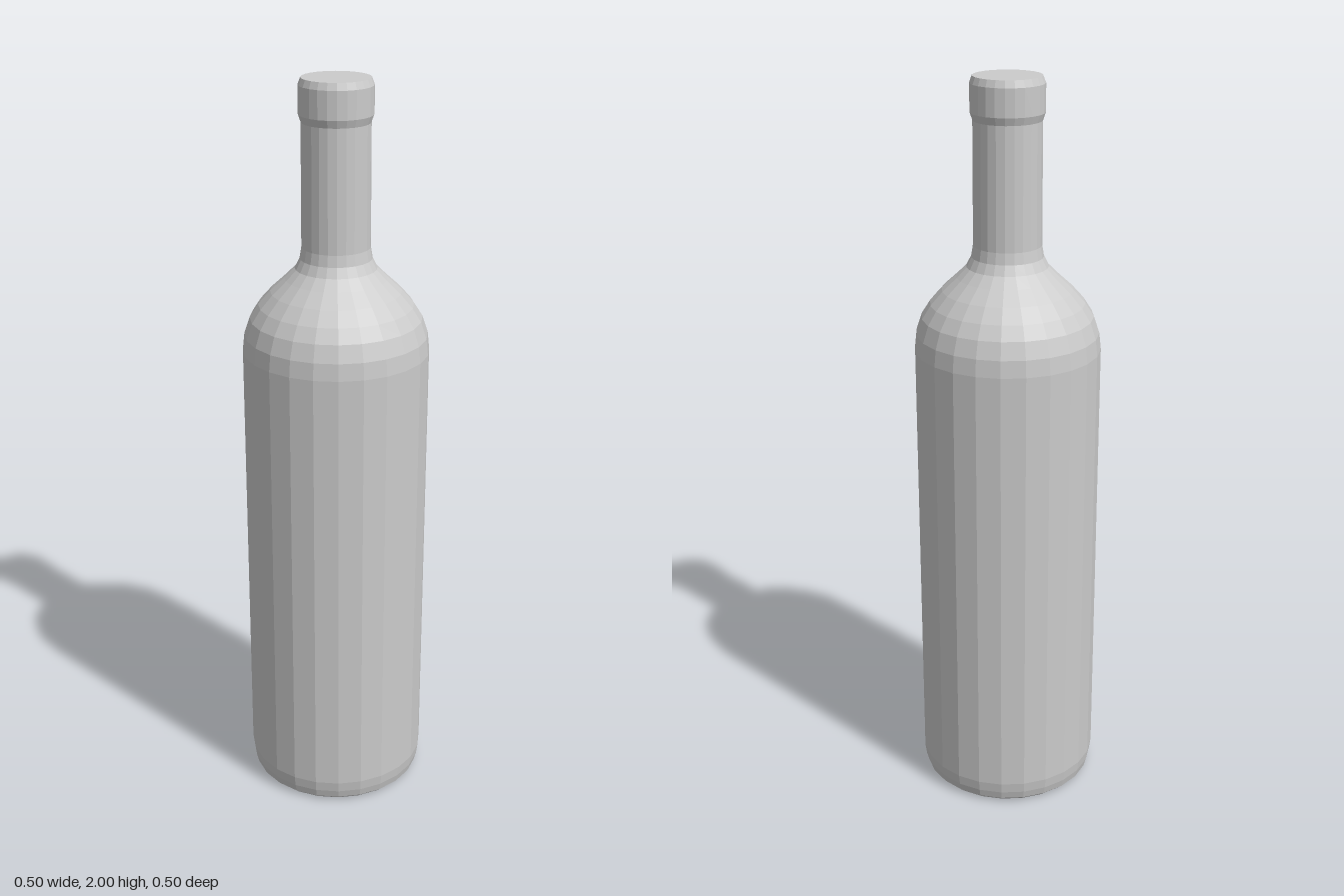
import * as THREE from 'three';

const SIDES = 24;
const material = new THREE.MeshStandardMaterial({ color: 0xcccccc, flatShading: true });

// Turned part from [radius, height] pairs, listed bottom to top
function turned(name, profile) {
  const points = profile.map(([r, y]) => new THREE.Vector2(r, y));
  const mesh = new THREE.Mesh(new THREE.LatheGeometry(points, SIDES), material);
  mesh.name = name;
  return mesh;
}

export function createModel() {
  const bottle = new THREE.Group();
  bottle.name = 'bottle';

  // Flat base with a rounded edge, and the straight wall
  bottle.add(turned('body', [
    [0, 0], [0.225, 0], [0.238, 0.012], [0.244, 0.035], [0.248, 0.065], [0.248, 1.29],
  ]));

  // Domed shoulder flaring into the neck
  bottle.add(turned('shoulder', [
    [0.248, 1.29], [0.243, 1.335], [0.228, 1.38], [0.205, 1.416],
    [0.173, 1.452], [0.135, 1.487], [0.108, 1.514], [0.095, 1.54], [0.09, 1.57],
  ]));

  // Straight neck
  bottle.add(turned('neck', [[0.09, 1.57], [0.089, 1.89]]));

  // Raised lip with a closed top
  bottle.add(turned('lip', [
    [0.089, 1.89], [0.096, 1.91], [0.096, 1.982], [0.089, 2], [0, 2],
  ]));

  return bottle;
}
